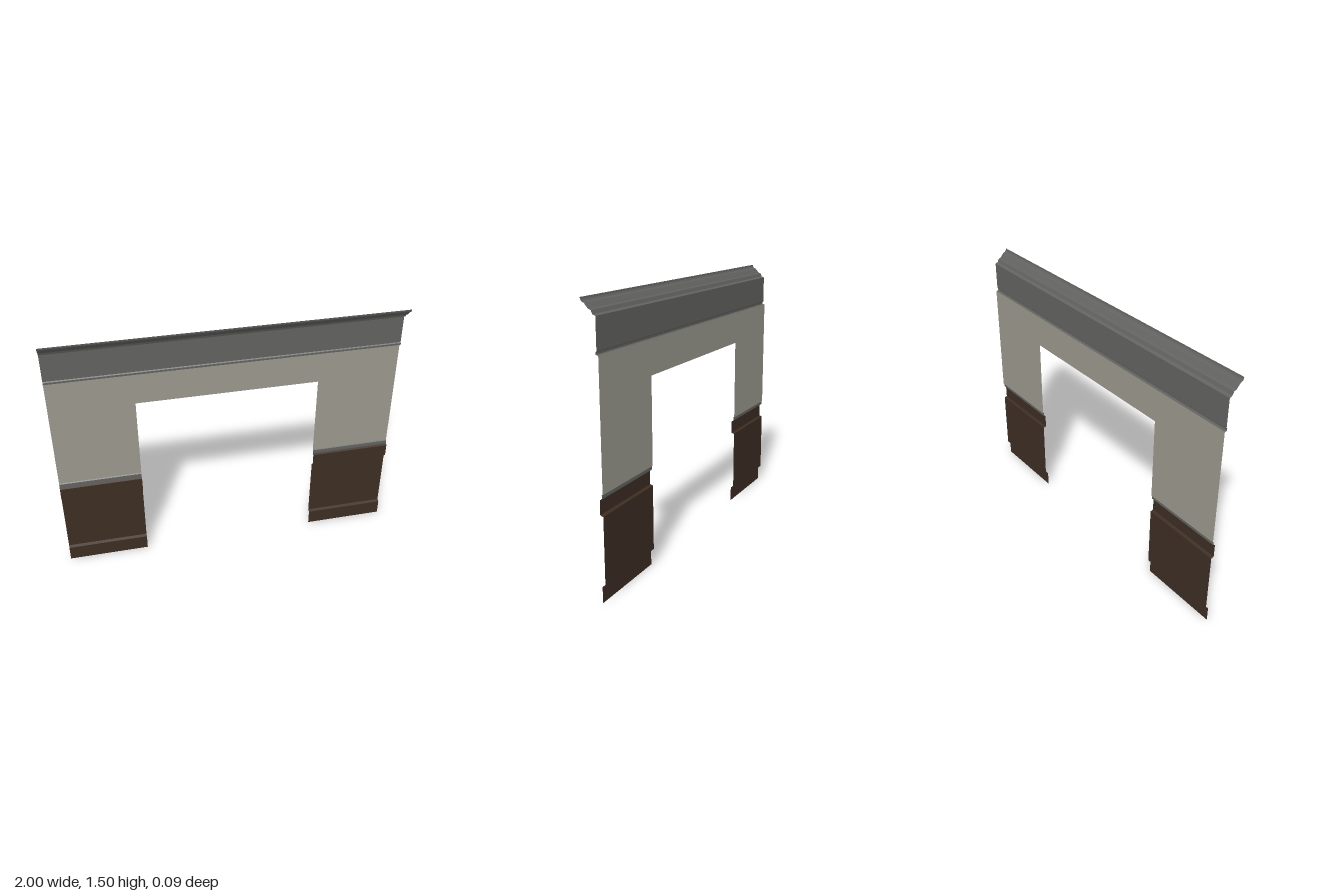
import * as THREE from 'three';

const material = (name, color) => {
  const m = new THREE.MeshStandardMaterial({ color, side: THREE.DoubleSide, flatShading: true });
  m.name = name;
  return m;
};

const WALL_Z = -0.045; // plane of the plaster
const OPEN = 0.525;    // half width of the doorway
const OPEN_TOP = 1.055;

// Open moulding: a [y, z] profile, listed upwards, swept along x from x0 to x1.
function moulding(name, profile, x0, x1, mat) {
  const pos = [];
  for (let i = 0; i < profile.length - 1; i++) {
    const [ya, za] = profile[i];
    const [yb, zb] = profile[i + 1];
    pos.push(x0, ya, za, x1, ya, za, x1, yb, zb);
    pos.push(x0, ya, za, x1, yb, zb, x0, yb, zb);
  }
  const geo = new THREE.BufferGeometry();
  geo.setAttribute('position', new THREE.Float32BufferAttribute(pos, 3));
  geo.computeVertexNormals();
  const mesh = new THREE.Mesh(geo, mat);
  mesh.name = name;
  return mesh;
}

export function createModel() {
  const plaster = material('plaster', 0x9a988d);
  const greyTrim = material('greyTrim', 0x626360);
  const darkWood = material('darkWood', 0x3d2d23);
  const group = new THREE.Group();
  group.name = 'doorwayWall';

  // Plaster sheet around the doorway
  const shape = new THREE.Shape();
  [[-1, 0.57], [-OPEN, 0.57], [-OPEN, OPEN_TOP], [OPEN, OPEN_TOP],
    [OPEN, 0.57], [1, 0.57], [1, 1.242], [-1, 1.242]]
    .forEach(([x, y], i) => (i ? shape.lineTo(x, y) : shape.moveTo(x, y)));
  const wall = new THREE.Mesh(new THREE.ShapeGeometry(shape), plaster);
  wall.name = 'plasterWall';
  wall.position.z = WALL_Z;
  group.add(wall);

  // Wood wainscot and grey strip on each side of the doorway
  for (const [side, x0, x1] of [['right', -1, -OPEN], ['left', OPEN, 1]]) {
    const wainscot = new THREE.Group();
    wainscot.name = side + 'Wainscot';
    wainscot.add(
      moulding('baseboard', [[0, -0.028], [0.088, -0.028], [0.095, WALL_Z]], x0, x1, darkWood),
      moulding('panel', [[0.095, WALL_Z], [0.46, WALL_Z]], x0, x1, darkWood),
      moulding('chairRail', [[0.46, WALL_Z], [0.465, -0.028], [0.542, -0.028], [0.548, -0.04]], x0, x1, darkWood),
      moulding('railStrip', [[0.548, -0.04], [0.57, -0.04], [0.575, WALL_Z]], x0, x1, greyTrim),
    );
    group.add(wainscot);
  }

  // Frieze with its lower bead, and the cornice stepping forward above it
  group.add(
    moulding('friezeBead', [[1.24, WALL_Z], [1.244, -0.031], [1.255, -0.031], [1.26, -0.036]], -1, 1, greyTrim),
    moulding('frieze', [[1.26, -0.036], [1.42, -0.036]], -1, 1, greyTrim),
    moulding('cornice', [[1.42, -0.036], [1.427, -0.02], [1.445, -0.012], [1.45, 0.002],
      [1.475, 0.024], [1.481, 0.037], [1.49, 0.043], [1.5, 0.045]], -1, 1, greyTrim),
  );
  return group;
}
